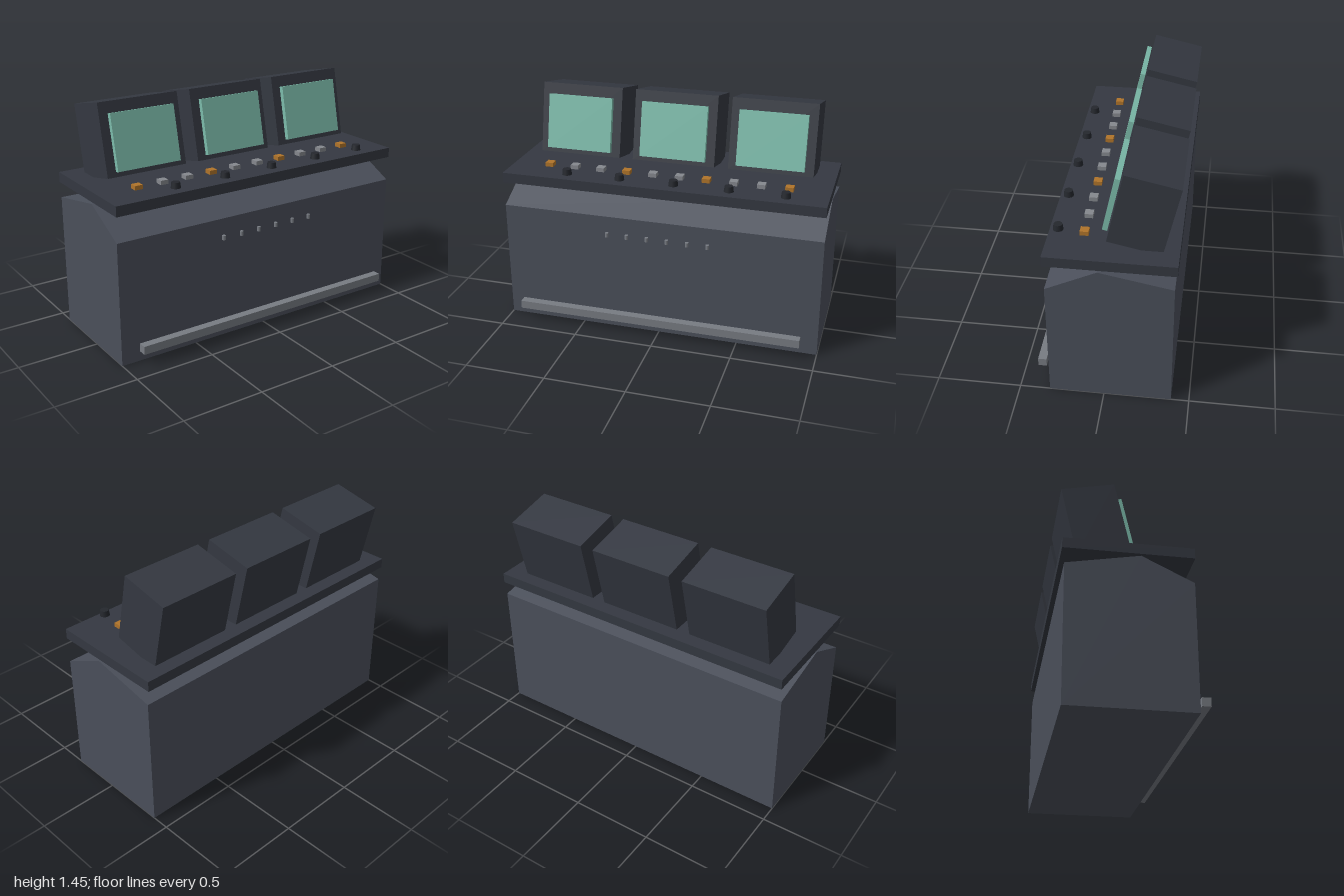
import * as THREE from 'three';

const mat = (color) => new THREE.MeshStandardMaterial({ color });

export function createModel() {
  const model = new THREE.Group();
  model.name = 'controlConsole';

  const bodyMat = mat(0x4a4f5a), darkMat = mat(0x343841), screenMat = mat(0x7cbcab);
  const metalMat = mat(0x777b82), amberMat = mat(0xb0742a), greyMat = mat(0x85888e);
  const knobMat = mat(0x24272d);

  const add = (parent, name, geometry, material, x, y, z) => {
    const mesh = new THREE.Mesh(geometry, material);
    mesh.name = name;
    mesh.position.set(x, y, z);
    parent.add(mesh);
    return mesh;
  };

  // Cabinet: side profile (z, y) extruded across the width
  const profile = new THREE.Shape([
    [0.322, 0], [0.322, 0.76], [0.027, 0.905], [-0.395, 0.823], [-0.395, 0],
  ].map(([z, y]) => new THREE.Vector2(-z, y)));
  const cabinet = new THREE.ExtrudeGeometry(profile, { depth: 2, bevelEnabled: false });
  cabinet.translate(0, 0, -1).rotateY(Math.PI / 2);
  add(model, 'cabinet', cabinet, bodyMat, 0, 0, 0);

  // Desk top
  add(model, 'deskTop', new THREE.BoxGeometry(2, 0.063, 0.738), darkMat, 0, 0.9485, -0.039);

  // Three monitors leaning back
  const caseGeo = new THREE.BoxGeometry(0.525, 0.44, 0.315);
  const screenGeo = new THREE.BoxGeometry(0.418, 0.34, 0.03);
  for (const x of [-0.612, 0, 0.612]) {
    const monitor = new THREE.Group();
    monitor.name = 'monitor';
    monitor.position.set(x, 1.203, -0.207);
    monitor.rotation.x = -0.216;
    add(monitor, 'monitorCase', caseGeo, darkMat, 0, 0, 0);
    add(monitor, 'screen', screenGeo, screenMat, 0, -0.019, 0.18);
    model.add(monitor);
  }

  // Row of buttons, every third one amber
  const buttonGeo = new THREE.BoxGeometry(0.05, 0.026, 0.05);
  for (let i = 0; i < 10; i++) {
    add(model, 'button', buttonGeo, i % 3 ? greyMat : amberMat, -0.761 + i * 0.1685, 0.993, 0.13);
  }

  // Rotary knobs
  const knobGeo = new THREE.CylinderGeometry(0.025, 0.03, 0.035, 16);
  for (let i = 0; i < 5; i++) {
    add(model, 'knob', knobGeo, knobMat, -0.592 + i * 0.337, 1.013, 0.278);
  }

  // Toggle switches on the front
  const toggleGeo = new THREE.CylinderGeometry(0.011, 0.011, 0.028, 12);
  for (let i = 0; i < 6; i++) {
    add(model, 'toggleSwitch', toggleGeo, metalMat, -0.318 + i * 0.1265, 0.655, 0.357);
  }

  // Foot rail
  add(model, 'footRail', new THREE.BoxGeometry(1.8, 0.051, 0.051), metalMat, 0, 0.107, 0.383);

  return model;
}
